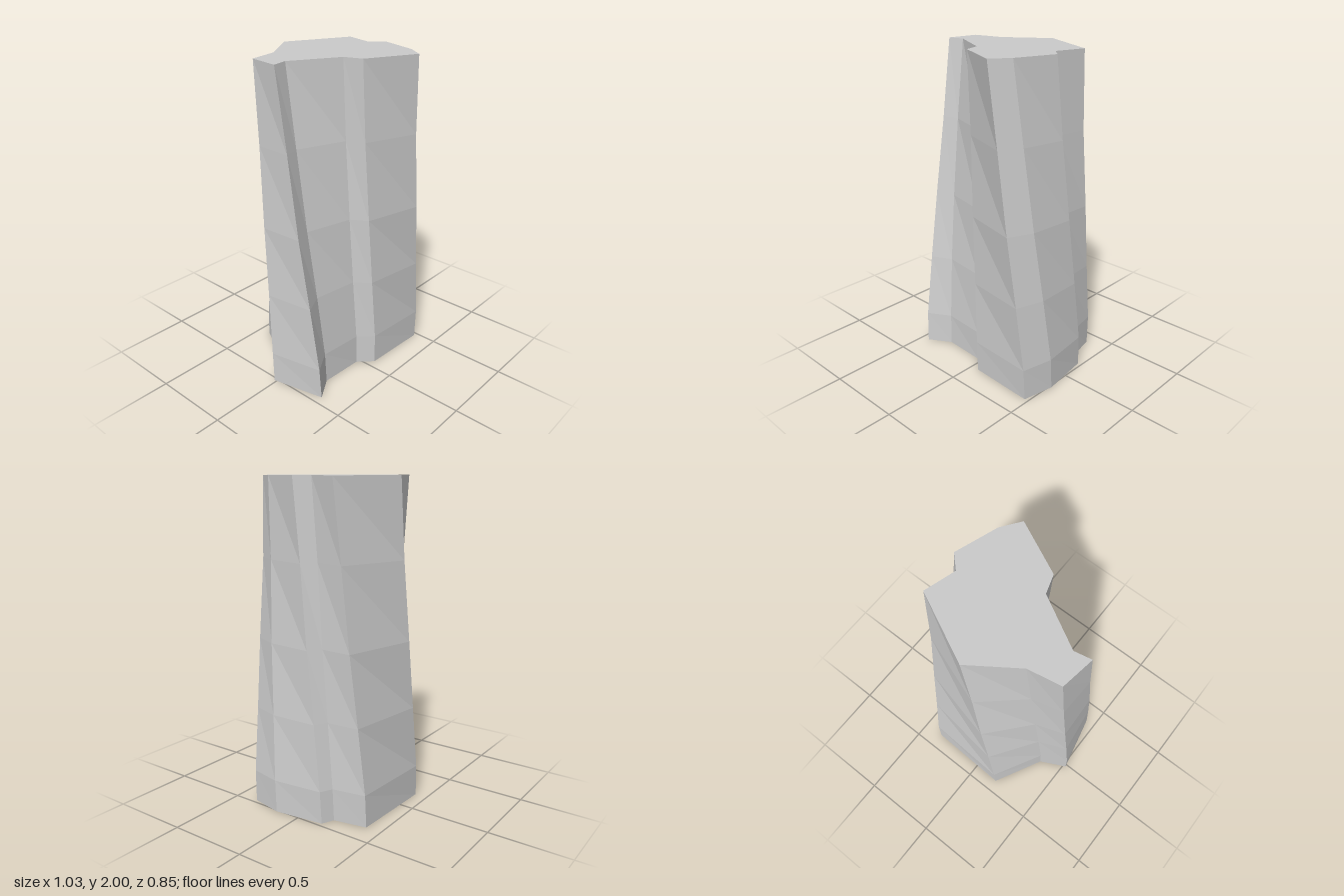
import * as THREE from 'three';

// Matching outline corners [x, z] at the top and the base, clockwise from above
const TOP = [
  [0.01, -0.385], [0.40, -0.195], [0.345, -0.01], [0.42, 0.065], [0.335, 0.315], [0.255, 0.425],
  [-0.05, 0.275], [-0.085, 0.165], [-0.37, 0.005], [-0.47, 0.025], [-0.44, -0.17], [-0.25, -0.205],
];
const BASE = [
  [-0.18, -0.42], [0.36, -0.40], [0.40, -0.195], [0.475, -0.16], [0.515, 0.155], [0.475, 0.355],
  [0.055, 0.335], [-0.03, 0.25], [-0.305, 0.235], [-0.445, 0.32], [-0.52, -0.015], [-0.35, -0.10],
];
// Each ring: height, share of the twist, share of the flare
const RINGS = [[0, 1, 1], [0.2, 0.96, 1], [0.6, 0.77, 0.67], [1.03, 0.53, 0.38], [1.52, 0.27, 0.06], [2, 0, 0]];

// Blend a top corner to its base corner by angle and radius
function corner(i, [y, twist, flare]) {
  const [tx, tz] = TOP[i], [bx, bz] = BASE[i];
  const a = Math.atan2(tz, tx);
  let turn = Math.atan2(bz, bx) - a;
  turn -= Math.round(turn / (2 * Math.PI)) * 2 * Math.PI;
  const r = THREE.MathUtils.lerp(Math.hypot(tx, tz), Math.hypot(bx, bz), flare);
  return [r * Math.cos(a + turn * twist), y, r * Math.sin(a + turn * twist)];
}

export function createModel() {
  const group = new THREE.Group();
  group.name = 'twistedColumn';
  const n = TOP.length;
  const positions = [], index = [];
  for (const ring of RINGS) for (let i = 0; i < n; i++) positions.push(...corner(i, ring));

  // Side walls
  for (let k = 0; k < RINGS.length - 1; k++) {
    for (let i = 0; i < n; i++) {
      const j = (i + 1) % n, lo = k * n, hi = lo + n;
      index.push(lo + i, hi + i, hi + j, lo + i, hi + j, lo + j);
    }
  }

  // End caps, each triangle turned to face outwards
  const addCap = (outline, start, up) => {
    const pts = outline.map(([x, z]) => new THREE.Vector2(x, z));
    for (const [a, b, c] of THREE.ShapeUtils.triangulateShape(pts, [])) {
      const facesDown = pts[b].clone().sub(pts[a]).cross(pts[c].clone().sub(pts[a])) > 0;
      if (facesDown === up) index.push(start + a, start + c, start + b);
      else index.push(start + a, start + b, start + c);
    }
  };
  addCap(BASE, 0, false);
  addCap(TOP, (RINGS.length - 1) * n, true);

  const indexed = new THREE.BufferGeometry();
  indexed.setAttribute('position', new THREE.Float32BufferAttribute(positions, 3));
  indexed.setIndex(index);
  const geometry = indexed.toNonIndexed();
  geometry.computeVertexNormals();

  const trunk = new THREE.Mesh(geometry, new THREE.MeshStandardMaterial({ color: 0xcccccc, flatShading: true }));
  trunk.name = 'trunk';
  group.add(trunk);
  return group;
}
